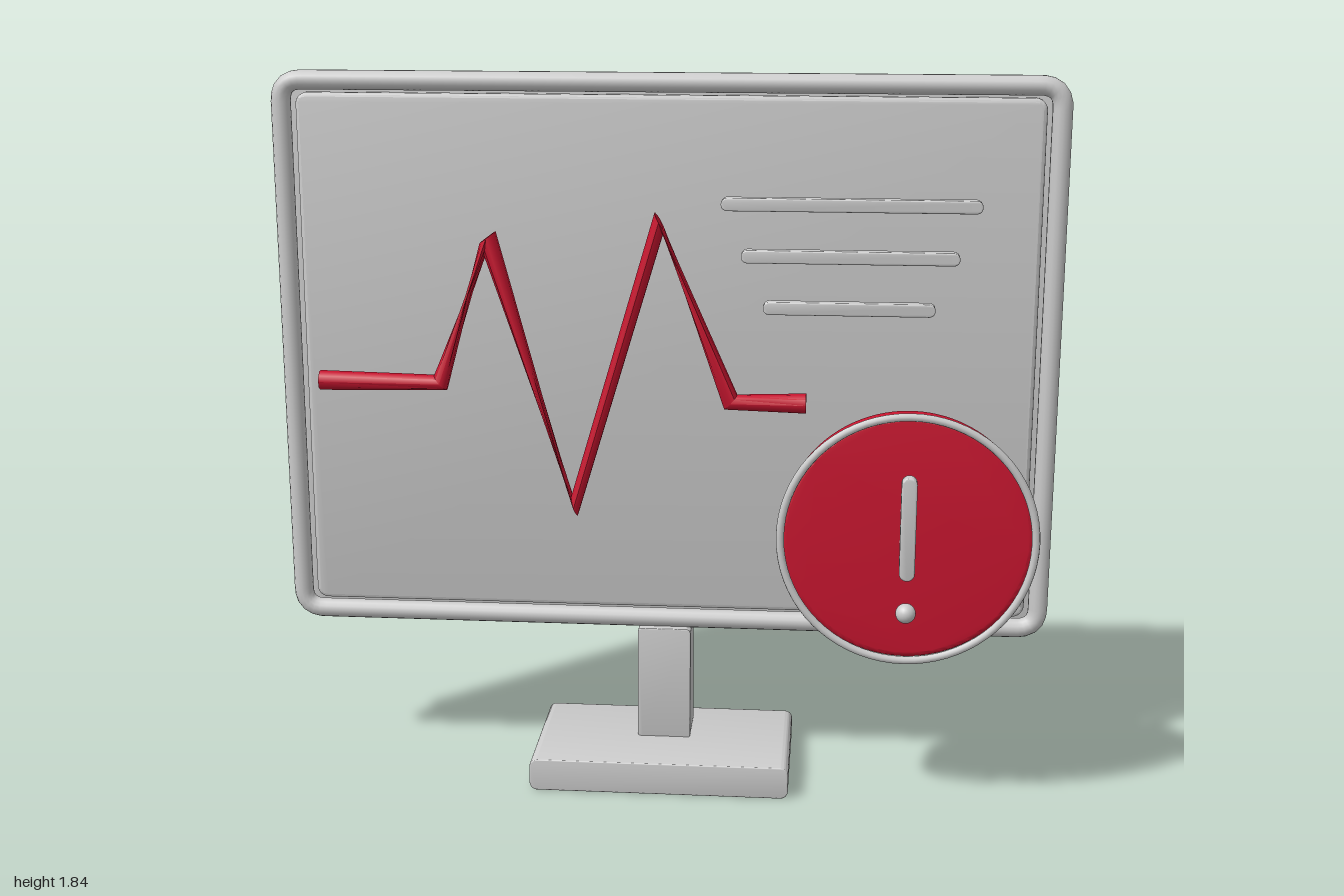
import * as THREE from 'three';
import { toCreasedNormals } from 'three/addons/utils/BufferGeometryUtils.js';

const grey = new THREE.MeshStandardMaterial({ color: 0xcccccc });
const red = new THREE.MeshStandardMaterial({ color: 0xc8152f });
const redBand = new THREE.MeshStandardMaterial({ color: 0xc8152f, side: THREE.DoubleSide });

function roundedRect(w, h, r) {
  const s = new THREE.Shape();
  const x = w / 2 - r, y = h / 2 - r;
  s.absarc(x, y, r, 0, Math.PI / 2);
  s.absarc(-x, y, r, Math.PI / 2, Math.PI);
  s.absarc(-x, -y, r, Math.PI, Math.PI * 1.5);
  s.absarc(x, -y, r, Math.PI * 1.5, Math.PI * 2);
  s.closePath();
  return s;
}

// Rounded plate facing z, with overall size w x h x d, corner radius r and bevel b
function slab(w, h, d, r, b, segments = 6) {
  const geo = new THREE.ExtrudeGeometry(roundedRect(w - 2 * b, h - 2 * b, r - b), {
    depth: d - 2 * b, curveSegments: segments,
    bevelEnabled: b > 0, bevelSize: b, bevelThickness: b, bevelSegments: 3,
  });
  geo.translate(0, 0, b - d / 2);
  return toCreasedNormals(geo, 0.6);
}

// Tube following a rounded rectangle
function frameTube(w, h, r, tube) {
  const path = new THREE.CurvePath();
  const x = w / 2, y = h / 2;
  const v = (a, b) => new THREE.Vector3(a, b, 0);
  const corners = [[x, y, 0, 1], [-x, y, -1, 0], [-x, -y, 0, -1], [x, -y, 1, 0]];
  let last = v(x, -y + r);
  for (const [cx, cy, dx, dy] of corners) {
    const start = v(cx - dx * r, cy - dy * r);
    const end = v(cx - dy * r, cy + dx * r);
    path.add(new THREE.LineCurve3(last, start));
    path.add(new THREE.QuadraticBezierCurve3(start, v(cx, cy), end));
    last = end;
  }
  return new THREE.TubeGeometry(path, 400, tube, 14, true);
}

// Zigzag tube: each ring has a centre (x, y) and a facing direction
function pulseTube(rings, radius) {
  const n = rings.length - 1;
  const geo = new THREE.CylinderGeometry(radius, radius, n, 10, n);
  const p = geo.attributes.position;
  for (let i = 0; i < p.count; i++) {
    const [cx, cy, tx, ty] = rings[Math.round(p.getY(i) + n / 2)];
    const s = p.getX(i), len = Math.hypot(tx, ty);
    p.setXYZ(i, cx + s * ty / len, cy - s * tx / len, p.getZ(i));
  }
  return toCreasedNormals(geo, 0.7);
}

export function createModel() {
  const model = new THREE.Group();
  model.name = 'healthMonitor';
  const add = (parent, name, geo, mat, x, y, z) => {
    const m = new THREE.Mesh(geo, mat);
    m.name = name;
    m.position.set(x, y, z);
    parent.add(m);
    return m;
  };

  // Stand
  add(model, 'base', slab(0.675, 0.085, 0.39, 0.02, 0.003), grey, 0, 0.0425, -0.075);
  add(model, 'neck', slab(0.14, 0.31, 0.122, 0.012, 0.002), grey, 0, 0.235, -0.124);

  // Display
  add(model, 'backPanel', slab(1.94, 1.41, 0.07, 0.045, 0.012), grey, 0, 1.11, -0.17);
  add(model, 'screen', slab(1.88, 1.345, 0.035, 0.03, 0.01), grey, 0, 1.11, -0.1175);
  add(model, 'screenFrame', frameTube(1.95, 1.405, 0.055, 0.025), grey, 0, 1.1125, -0.1);

  // Heartbeat line
  const rings = [
    [-0.86, 1.08, 1, 0], [-0.552, 1.08, 0.75, 0.66], [-0.425, 1.45, 0.6, -0.8],
    [-0.217, 0.763, 0.93, 0.37], [0, 1.495, 0.86, 0.5], [0.178, 1.045, 0.75, -0.66],
    [0.365, 1.045, 1, 0],
  ];
  add(model, 'pulseLine', pulseTube(rings, 0.025), redBand, 0, 0, 0.07);

  // Text bars
  [[0.63, 1.54], [0.53, 1.413], [0.42, 1.286]].forEach(([w, y], i) =>
    add(model, `infoBar${i + 1}`, slab(w, 0.032, 0.03, 0.0155, 0.003), grey, 0.465, y, 0.072));

  // Alert badge
  const badge = new THREE.Group();
  badge.name = 'alertBadge';
  badge.position.set(0.62, 0.74, 0);
  model.add(badge);
  add(badge, 'badgeDisc', slab(0.62, 0.62, 0.068, 0.31, 0.014, 20), red, 0, 0, 0.161);
  add(badge, 'badgeRim', new THREE.TorusGeometry(0.311, 0.01, 10, 72), grey, 0, 0, 0.21);
  add(badge, 'exclamationBar', slab(0.038, 0.262, 0.032, 0.0185, 0.004), grey, 0, 0.04, 0.239);
  add(badge, 'exclamationDot', new THREE.SphereGeometry(0.025, 20, 14), grey, 0, -0.175, 0.246);

  return model;
}
